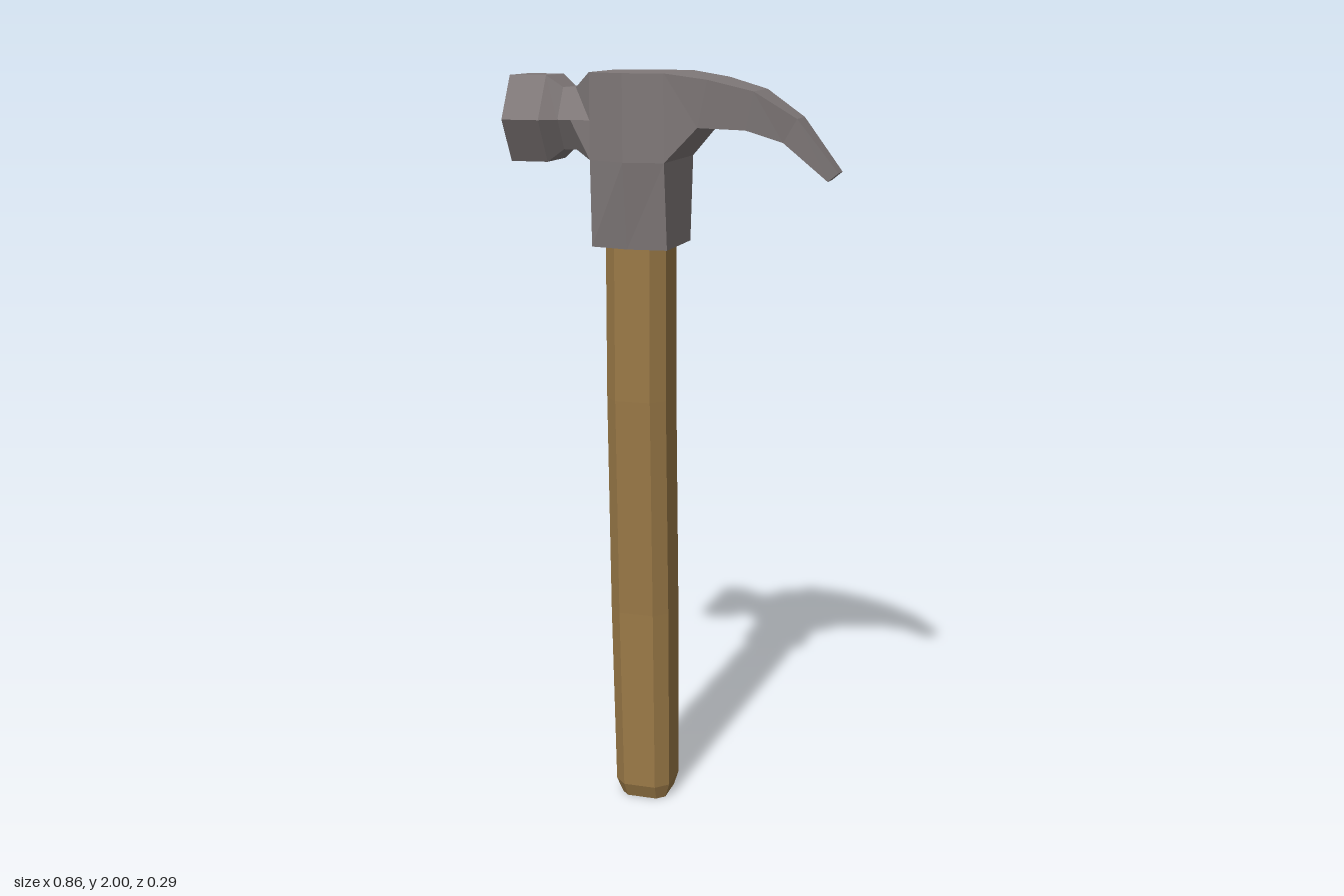
import * as THREE from 'three';

// Skin a list of rings (arrays of [x, y, z]); rings turn right-handed about the loft direction.
function loft(rings, capStart, capEnd) {
  const pos = [];
  const tri = (a, b, c) => pos.push(...a, ...b, ...c);
  const n = rings[0].length;
  for (let r = 0; r < rings.length - 1; r++) {
    const a = rings[r], b = rings[r + 1];
    for (let i = 0; i < n; i++) {
      const j = (i + 1) % n;
      tri(a[i], a[j], b[j]);
      tri(a[i], b[j], b[i]);
    }
  }
  const first = rings[0], last = rings[rings.length - 1];
  for (let i = 1; i < n - 1; i++) {
    if (capStart) tri(first[0], first[i + 1], first[i]);
    if (capEnd) tri(last[0], last[i], last[i + 1]);
  }
  const g = new THREE.BufferGeometry();
  g.setAttribute('position', new THREE.Float32BufferAttribute(pos, 3));
  g.computeVertexNormals();
  return g;
}

export function createModel() {
  const steel = new THREE.MeshStandardMaterial({ color: 0x807979, flatShading: true });
  steel.name = 'steel';
  const wood = new THREE.MeshStandardMaterial({ color: 0x9a7947, flatShading: true });
  wood.name = 'wood';

  const model = new THREE.Group();
  model.name = 'clawHammer';
  const add = (name, geometry, material, parent) => {
    const mesh = new THREE.Mesh(geometry, material);
    mesh.name = name;
    parent.add(mesh);
  };

  // Handle: chamfered square section, slightly curved; [y, centre x, centre z, half width, half flat]
  const handleRings = [
    [0, -0.085, -0.002, 0.0625, 0.042],
    [0.04, -0.0875, -0.002, 0.0775, 0.045],
    [0.55, -0.095, -0.008, 0.082, 0.048],
    [1.15, -0.096, 0.008, 0.082, 0.048],
    [1.57, -0.097, 0.003, 0.082, 0.048],
  ].map(([y, cx, cz, w, f]) =>
    [[-f, w], [f, w], [w, f], [w, -f], [f, -w], [-f, -w], [-w, -f], [-w, f]]
      .map(([x, z]) => [cx + x, y, cz + z]));
  add('handle', loft(handleRings, true, true), wood, model);

  const head = new THREE.Group();
  head.name = 'head';
  model.add(head);

  // Socket: six-sided sleeve that widens upwards; [y, back z, middle z, front z]
  const socketRings = [[1.557, 0.085, 0.113, 0.106], [1.78, 0.094, 0.145, 0.131]]
    .map(([y, a, b, c]) =>
      [[-0.205, a], [-0.1, b], [0.005, c], [0.005, -c], [-0.1, -b], [-0.205, -a]]
        .map(([x, z]) => [x, y, z]));
  add('socket', loft(socketRings, true, false), steel, head);

  // Body and claw: four-sided stations; [top x, top y, bottom x, bottom y, half depth]
  const clawRings = [
    [-0.205, 2, -0.205, 1.78, 0.094],
    [-0.1, 2, -0.1, 1.78, 0.145],
    [0.005, 2, 0.005, 1.78, 0.131],
    [0.11, 1.985, 0.085, 1.867, 0.108],
    [0.22, 1.957, 0.2, 1.861, 0.074],
    [0.325, 1.89, 0.29, 1.83, 0.044],
    [0.429, 1.757, 0.402, 1.735, 0.026],
  ].map(([tx, ty, bx, by, h]) => [[tx, ty, h], [bx, by, h], [bx, by, -h], [tx, ty, -h]]);
  add('bodyAndClaw', loft(clawRings, false, true), steel, head);

  // Striking face and neck: hexagons; [edge x, side x, top y, bottom y, edge z, side z]
  const neckRings = [
    [-0.432, -0.432, 1.99, 1.77, 0.065, 0.129],
    [-0.332, -0.332, 1.99, 1.77, 0.065, 0.129],
    [-0.292, -0.292, 1.96, 1.802, 0.048, 0.094],
    [-0.257, -0.257, 1.96, 1.802, 0.048, 0.094],
    [-0.205, -0.205, 2, 1.78, 0.094, 0.094],
  ].map(([ex, sx, t, b, e, s]) => [
    [ex, t, e], [sx, 1.88, s], [ex, b, e], [ex, b, -e], [sx, 1.88, -s], [ex, t, -e],
  ]);
  add('strikingFace', loft(neckRings, true, false), steel, head);

  return model;
}
